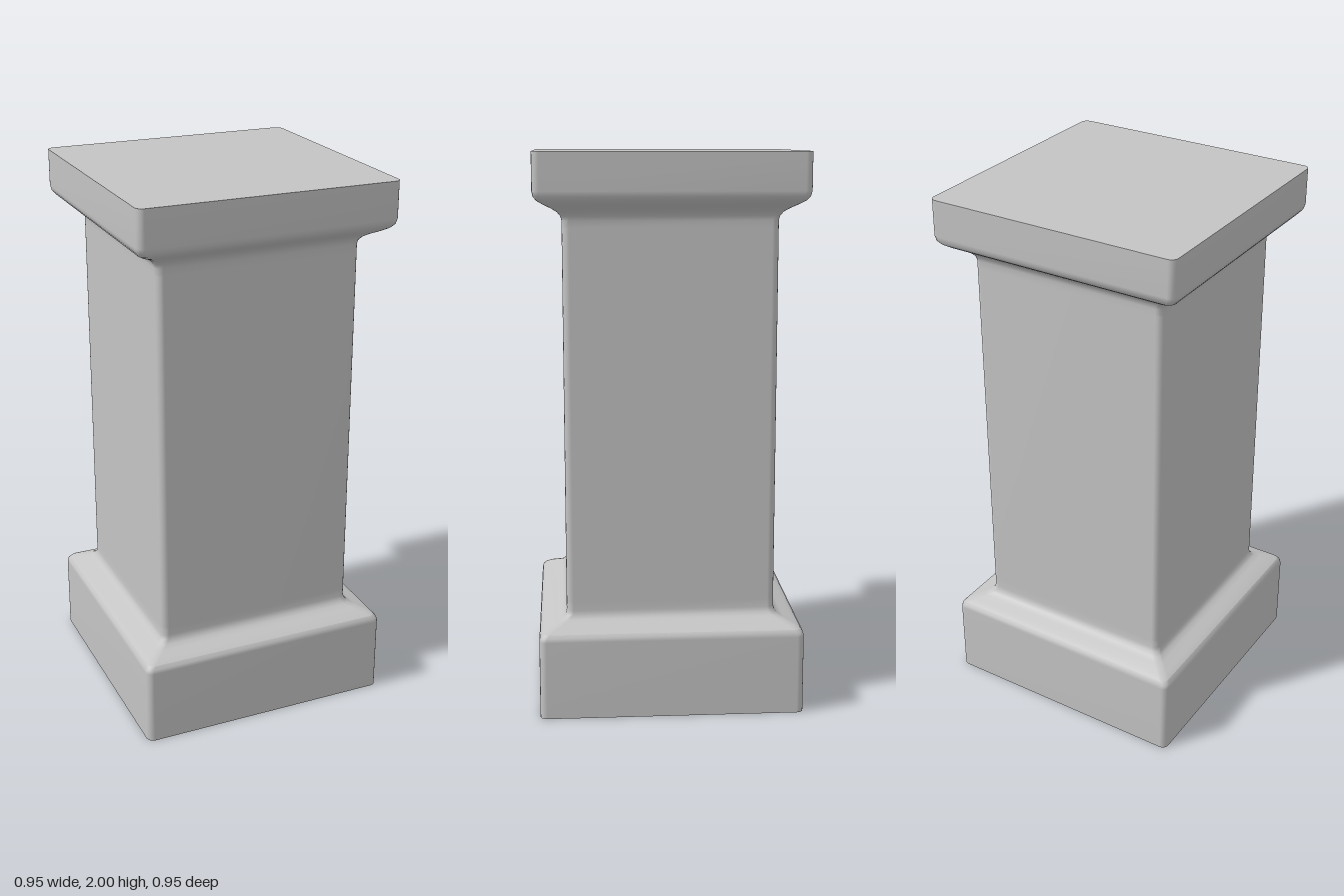
import * as THREE from 'three';

const RADIUS = 0.025; // rounding of the vertical corners
const STEPS = 4; // segments per corner

// Rounded square outline, counter-clockwise, as [x, y] points
function outline(half) {
  const points = [];
  for (let corner = 0; corner < 4; corner++) {
    const mid = (corner + 0.5) * Math.PI / 2;
    const cx = Math.sign(Math.cos(mid)) * (half - RADIUS);
    const cy = Math.sign(Math.sin(mid)) * (half - RADIUS);
    for (let s = 0; s <= STEPS; s++) {
      const a = (corner + s / STEPS) * Math.PI / 2;
      points.push(new THREE.Vector2(cx + RADIUS * Math.cos(a), cy + RADIUS * Math.sin(a)));
    }
  }
  return points;
}

// Open shell through rounded squares; profile lists [half width, height] upwards
function loft(profile) {
  const positions = [];
  const index = [];
  const n = 4 * (STEPS + 1);
  profile.forEach(([half, y], row) => {
    for (const p of outline(half)) positions.push(p.x, y, -p.y);
    if (row === 0) return;
    for (let i = 0; i < n; i++) {
      const a = (row - 1) * n + i;
      const b = (row - 1) * n + (i + 1) % n;
      index.push(a, b, b + n, a, b + n, a + n);
    }
  });
  const geometry = new THREE.BufferGeometry();
  geometry.setAttribute('position', new THREE.Float32BufferAttribute(positions, 3));
  geometry.setIndex(index);
  geometry.computeVertexNormals();
  return geometry;
}

export function createModel() {
  const group = new THREE.Group();
  const stone = new THREE.MeshStandardMaterial({ color: 0xc4c4c4, side: THREE.DoubleSide });
  stone.name = 'grey stone';

  const add = (name, geometry) => {
    const mesh = new THREE.Mesh(geometry, stone);
    mesh.name = name;
    group.add(mesh);
    return mesh;
  };

  // Hollow plinth, open underneath
  add('base', loft([[0.475, 0], [0.475, 0.285], [0.472, 0.299], [0.463, 0.31]]));

  // Sloping ledge that sweeps into the shaft
  add('baseMoulding', loft([
    [0.463, 0.31], [0.445, 0.32], [0.41, 0.333], [0.391, 0.342],
    [0.38, 0.354], [0.376, 0.37], [0.376, 0.4],
  ]));

  add('shaft', loft([[0.376, 0.4], [0.376, 1.74]]));

  // Cove under the capital, then its upright band
  add('capital', loft([
    [0.376, 1.74], [0.376, 1.765], [0.38, 1.78], [0.391, 1.794], [0.41, 1.807],
    [0.44, 1.823], [0.46, 1.836], [0.471, 1.85], [0.475, 1.868], [0.475, 2],
  ]));

  // Flat top
  const top = add('topFace', new THREE.ShapeGeometry(new THREE.Shape(outline(0.475))));
  top.rotation.x = -Math.PI / 2;
  top.position.y = 2;

  return group;
}
